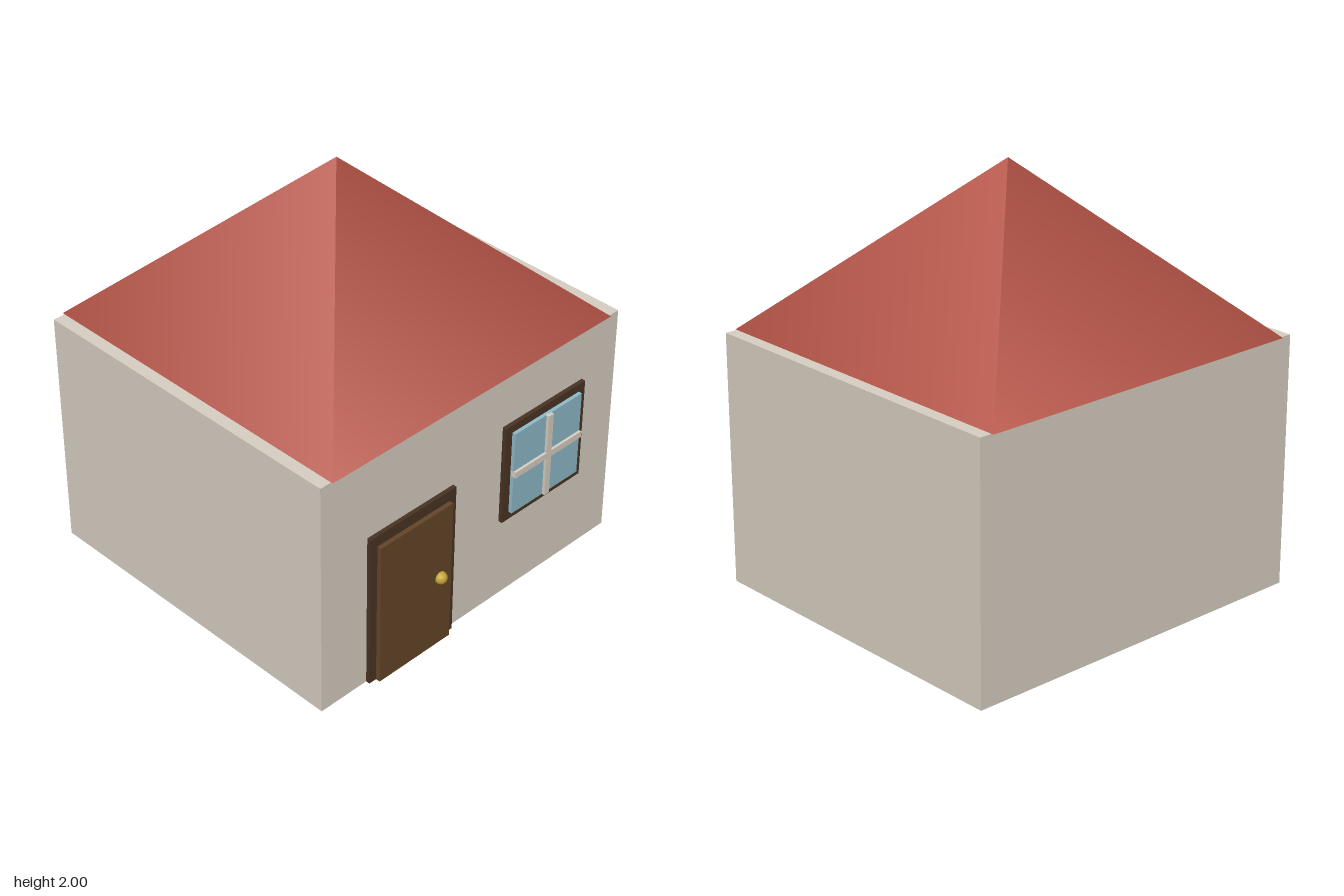
import * as THREE from 'three';

const mat = (color) => new THREE.MeshStandardMaterial({ color });

export function createModel() {
  const house = new THREE.Group();
  house.name = 'house';
  const cream = mat(0xd9d0c3), red = mat(0xb25245), darkWood = mat(0x4a3424);
  const wood = mat(0x654629), glass = mat(0x8fbccb), brass = mat(0xc4a535);

  // Box given by its extents on each axis
  const box = (parent, name, material, [x0, x1], [y0, y1], [z0, z1]) => {
    const mesh = new THREE.Mesh(new THREE.BoxGeometry(x1 - x0, y1 - y0, z1 - z0), material);
    mesh.position.set((x0 + x1) / 2, (y0 + y1) / 2, (z0 + z1) / 2);
    mesh.name = name;
    parent.add(mesh);
    return mesh;
  };

  const front = 0.81;
  box(house, 'walls', cream, [-0.912, 0.912], [0, 1.2], [-0.872, front]);

  // Four-sided pyramid roof
  const roof = new THREE.Mesh(new THREE.ConeGeometry(0.852 * Math.SQRT2, 0.8, 4), red);
  roof.name = 'roof';
  roof.rotation.y = Math.PI / 4;
  roof.position.set(0, 1.6, -0.032);
  house.add(roof);

  // Door with frame and knob
  const door = new THREE.Group();
  door.name = 'door';
  box(door, 'doorFrame', darkWood, [-0.645, -0.13], [0, 0.795], [front - 0.02, 0.83]);
  box(door, 'doorPanel', wood, [-0.605, -0.17], [0, 0.74], [front - 0.01, 0.852]);
  const knob = new THREE.Mesh(new THREE.SphereGeometry(0.03, 24, 16), brass);
  knob.name = 'doorKnob';
  knob.position.set(-0.24, 0.373, 0.857);
  door.add(knob);
  house.add(door);

  // Window with frame, pane and crossed bars
  const win = new THREE.Group();
  win.name = 'window';
  box(win, 'windowFrame', darkWood, [0.175, 0.69], [0.425, 0.94], [front - 0.02, 0.83]);
  box(win, 'windowPane', glass, [0.216, 0.65], [0.466, 0.9], [front - 0.01, 0.848]);
  box(win, 'verticalBar', cream, [0.417, 0.449], [0.466, 0.9], [0.83, 0.862]);
  box(win, 'horizontalBar', cream, [0.216, 0.65], [0.667, 0.699], [0.83, 0.861]);
  house.add(win);

  return house;
}
